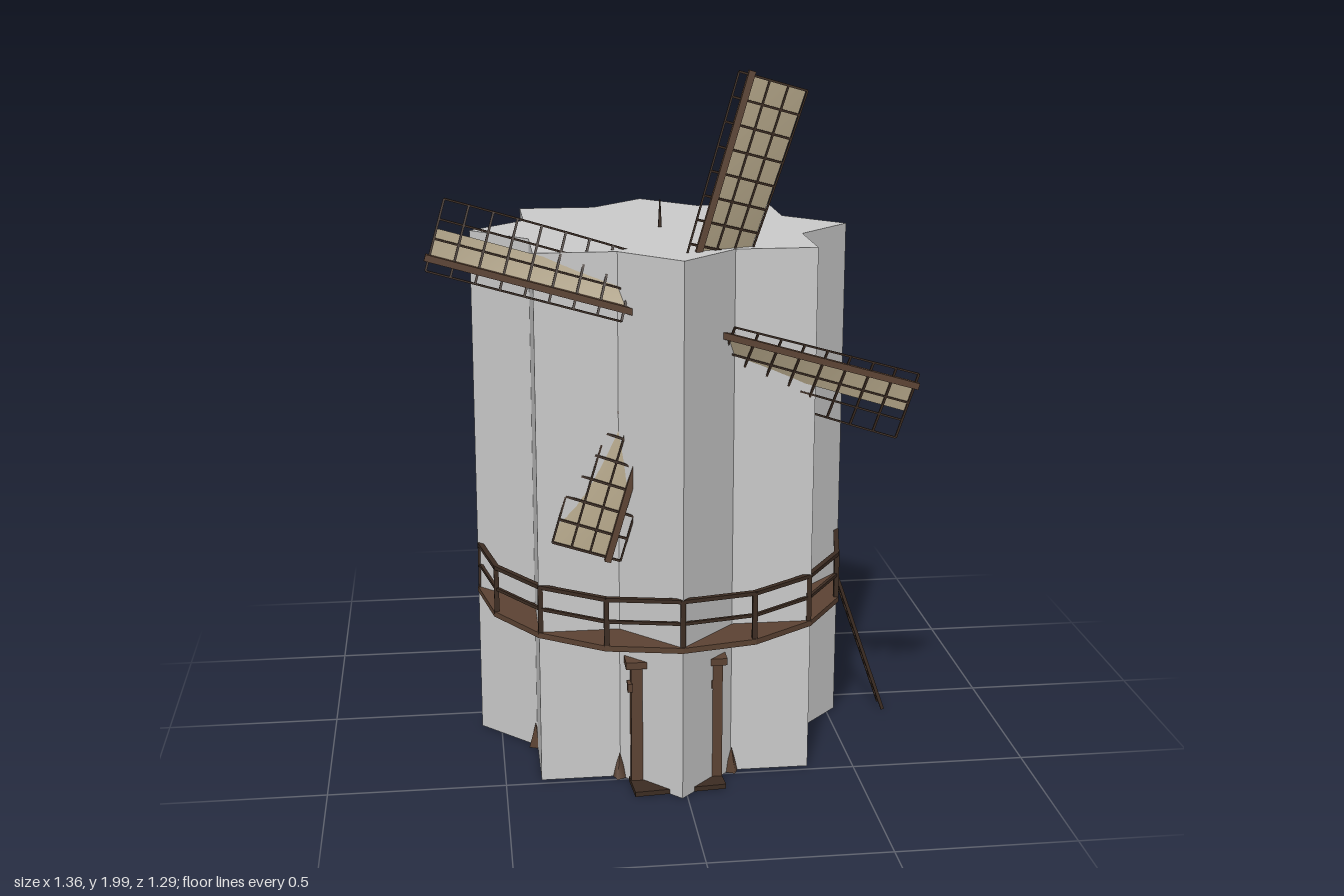
import * as THREE from 'three';
import { mergeGeometries } from 'three/addons/utils/BufferGeometryUtils.js';
import { ParametricGeometry } from 'three/addons/geometries/ParametricGeometry.js';

const CX = -0.015, CZ = 0.095;
const V = (x, y, z) => new THREE.Vector3(x, y, z);

const stone = new THREE.MeshStandardMaterial({ color: 0xcbcbcb });
stone.name = 'stone';
const wood = new THREE.MeshStandardMaterial({ color: 0x5c4333 });
wood.name = 'wood';
const darkWood = new THREE.MeshStandardMaterial({ color: 0x3c2c22 });
darkWood.name = 'darkWood';
const canvas = new THREE.MeshStandardMaterial({ color: 0xb3a588, side: THREE.DoubleSide });
canvas.name = 'canvas';

function add(parent, name, geometry, material) {
  const mesh = new THREE.Mesh(geometry, material);
  mesh.name = name;
  parent.add(mesh);
  return mesh;
}

// Square beam running from a to b
function beam(a, b, w, d = w) {
  const dir = b.clone().sub(a);
  const g = new THREE.BoxGeometry(w, d, dir.length());
  const m = new THREE.Matrix4().lookAt(b, a, Math.abs(dir.y) > 0.99 * dir.length() ? V(0, 0, 1) : V(0, 1, 0));
  return g.applyMatrix4(m.setPosition(a.clone().add(b).multiplyScalar(0.5)));
}

function box(x0, x1, y0, y1, z0, z1) {
  return new THREE.BoxGeometry(x1 - x0, y1 - y0, z1 - z0)
    .translate((x0 + x1) / 2, (y0 + y1) / 2, (z0 + z1) / 2);
}

function makeSail(clothWidth) {
  const sail = new THREE.Group();
  const U0 = 0.15, U1 = 0.682, ROWS = 8;
  // Lattice surface, twisted more steeply towards the hub
  const point = (u, v, back = 0) => {
    const a = THREE.MathUtils.lerp(0.42, 0.11, (u - U0) / (U1 - U0));
    return V(v * Math.cos(a), u, -v * Math.sin(a) - back);
  };
  const rowU = (i) => U0 + ((U1 - U0) * i) / ROWS;
  const bars = [];
  for (let i = 0; i <= ROWS; i++) {
    bars.push(beam(point(rowU(i), -0.034), point(rowU(i), 0.16), 0.006));
    if (i === ROWS) continue;
    for (const v of [-0.034, 0.053, 0.106, 0.16])
      bars.push(beam(point(rowU(i), v), point(rowU(i + 1), v), 0.005));
  }
  add(sail, 'sailLattice', mergeGeometries(bars), darkWood);
  add(sail, 'sailStock', box(-0.009, 0.009, 0, 0.693, -0.009, 0.009), wood);
  const cloth = new ParametricGeometry((s, t, target) => {
    target.copy(point(U0 + (U1 - U0) * t, clothWidth * s, 0.005));
  }, 2, 12);
  add(sail, 'sailCloth', cloth, canvas);
  return sail;
}

export function createModel() {
  const mill = new THREE.Group();
  mill.name = 'windmill';

  // Star-shaped tower
  const R = 0.543, r = R * 0.765;
  const star = new THREE.Shape();
  for (let i = 0; i < 16; i++) {
    const a = (i * Math.PI) / 8, q = i % 2 ? r : R;
    star[i ? 'lineTo' : 'moveTo'](q * Math.cos(a), q * Math.sin(a));
  }
  star.closePath();
  const towerGeo = new THREE.ExtrudeGeometry(star, { depth: 1.52, bevelEnabled: false });
  add(mill, 'tower', towerGeo.rotateX(-Math.PI / 2).translate(CX, 0, CZ), stone);

  // Gallery deck with railing
  const gallery = new THREE.Group();
  gallery.name = 'gallery';
  gallery.position.set(CX, 0, CZ);
  mill.add(gallery);
  add(gallery, 'galleryDeck', new THREE.CylinderGeometry(0.545, 0.545, 0.016, 16).toNonIndexed().translate(0, 0.442, 0), wood)
    .geometry.computeVertexNormals();
  const rim = (i, y) => V(0.536 * Math.sin((i * Math.PI) / 8), y, 0.536 * Math.cos((i * Math.PI) / 8));
  const railing = [];
  for (let i = 0; i < 16; i++) {
    railing.push(beam(rim(i, 0.445), rim(i, 0.585), 0.014));
    railing.push(beam(rim(i, 0.583), rim(i + 1, 0.583), 0.015, 0.011));
    railing.push(beam(rim(i, 0.518), rim(i + 1, 0.518), 0.009));
  }
  add(gallery, 'galleryRailing', mergeGeometries(railing), darkWood);

  // Small wedges in the inner corners of the foot
  for (let i = 0; i < 8; i++) {
    const a = ((i + 0.5) * Math.PI) / 4;
    const wedge = add(mill, 'footWedge', new THREE.ConeGeometry(0.022, 0.075, 4), wood);
    wedge.position.set(CX + 0.42 * Math.sin(a), 0.0375, CZ + 0.42 * Math.cos(a));
    wedge.rotation.y = a;
  }

  // Door frame: posts, hinges, lintel and step
  const door = new THREE.Group();
  door.name = 'doorFrame';
  mill.add(door);
  for (const x of [-0.132, 0.094]) {
    add(door, 'doorPost', box(x - 0.016, x + 0.016, 0, 0.36, 0.507, 0.541), wood);
    add(door, 'doorHinge', box(x - 0.026, x - 0.012, 0.285, 0.31, 0.515, 0.545), wood);
  }
  add(door, 'doorLintel', box(-0.163, 0.122, 0.355, 0.375, 0.493, 0.548), wood);
  const step = add(door, 'doorStep', box(-0.13, 0.13, 0, 0.014, -0.1, 0), darkWood);
  step.position.set(CX, 0, 0.603);
  step.rotation.y = 0.08;

  // Ladder up to the gallery
  const ladder = [];
  const rung = (t, z) => V(0.52 + 0.155 * t, 0.45 - 0.446 * t, z);
  for (const z of [0.068, 0.127]) ladder.push(beam(rung(0, z), rung(1, z), 0.01));
  for (let i = 0; i < 11; i++) {
    const t = (i + 0.5) / 11;
    ladder.push(beam(rung(t, 0.068), rung(t, 0.127), 0.007));
  }
  add(mill, 'ladder', mergeGeometries(ladder), darkWood);

  // Tail pole with crossbar
  add(mill, 'tailPole', beam(V(CX, 1.0, -0.375), V(CX, 0.61, -0.638), 0.019), wood);
  add(mill, 'tailCrossbar', box(CX - 0.07, CX + 0.07, 0.6, 0.612, -0.644, -0.632), wood);

  // Roof finial
  add(mill, 'finial', new THREE.CylinderGeometry(0.002, 0.006, 0.08, 6).translate(CX, 1.558, CZ), darkWood);

  // Four sails, alternating full and reefed cloth
  const sails = new THREE.Group();
  sails.name = 'sails';
  sails.position.set(CX, 1.327, 0.506);
  for (let k = 0; k < 4; k++) {
    const sail = makeSail(k % 2 ? 0.08 : 0.157);
    sail.name = 'sail';
    sail.rotation.z = -0.283 - (k * Math.PI) / 2;
    sails.add(sail);
  }
  mill.add(sails);

  return mill;
}
